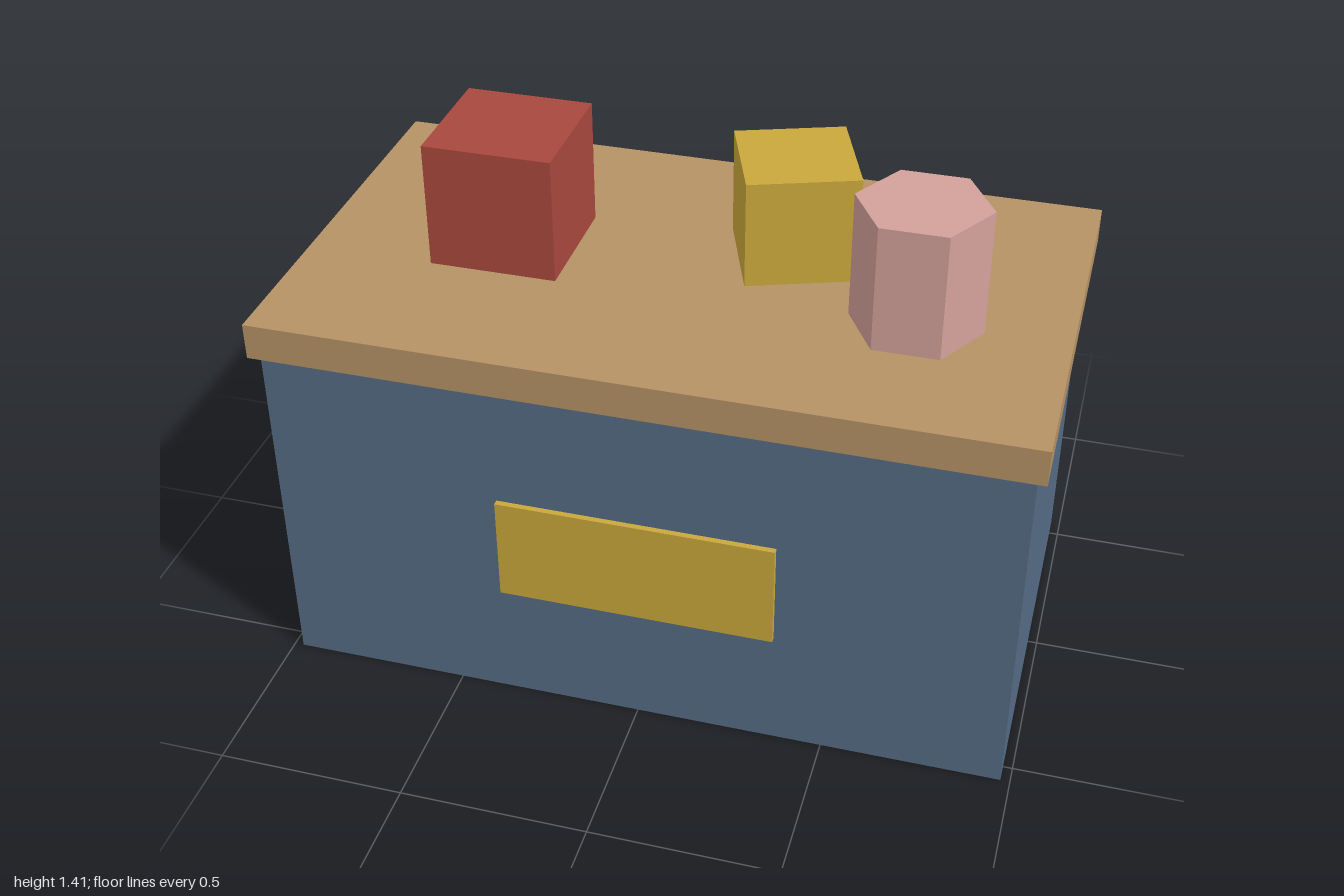
import * as THREE from 'three';

const material = (name, color) => {
  const m = new THREE.MeshStandardMaterial({ color, flatShading: true });
  m.name = name;
  return m;
};

export function createModel() {
  const blue = material('slate blue', 0x546b83);
  const wood = material('wood', 0xb59264);
  const gold = material('gold', 0xc9a73b);
  const red = material('red', 0xa8483d);
  const pink = material('pink', 0xd3a09a);

  const group = new THREE.Group();
  group.name = 'counter';

  // Places a part by the height of its underside
  const add = (name, geometry, mat, x, bottom, z, height, turn = 0) => {
    const mesh = new THREE.Mesh(geometry, mat);
    mesh.name = name;
    mesh.position.set(x, bottom + height / 2, z);
    mesh.rotation.y = turn;
    group.add(mesh);
  };
  const box = (name, mat, [w, h, d], x, bottom, z, turn) =>
    add(name, new THREE.BoxGeometry(w, h, d), mat, x, bottom, z, h, turn);

  // Cabinet with overhanging top
  const baseHeight = 0.976, topHeight = 0.098;
  const surface = baseHeight + topHeight;
  box('cabinet', blue, [1.951, baseHeight, 1.098], 0, 0, 0);
  box('counterTop', wood, [2, topHeight, 1.146], 0, baseHeight, 0);

  // Raised front sign plate
  box('frontPlate', gold, [0.732, 0.293, 0.016], 0, 0.343, 0.557);

  // Goods standing on the top
  box('redBox', red, [0.341, 0.341, 0.341], -0.488, surface, 0);
  box('goldBox', gold, [0.293, 0.293, 0.293], 0.244, surface, -0.122, 0.35);
  add('hexagonalJar', new THREE.CylinderGeometry(0.171, 0.171, 0.341, 6),
    pink, 0.61, surface, 0.122, 0.341, Math.PI / 6);

  return group;
}
